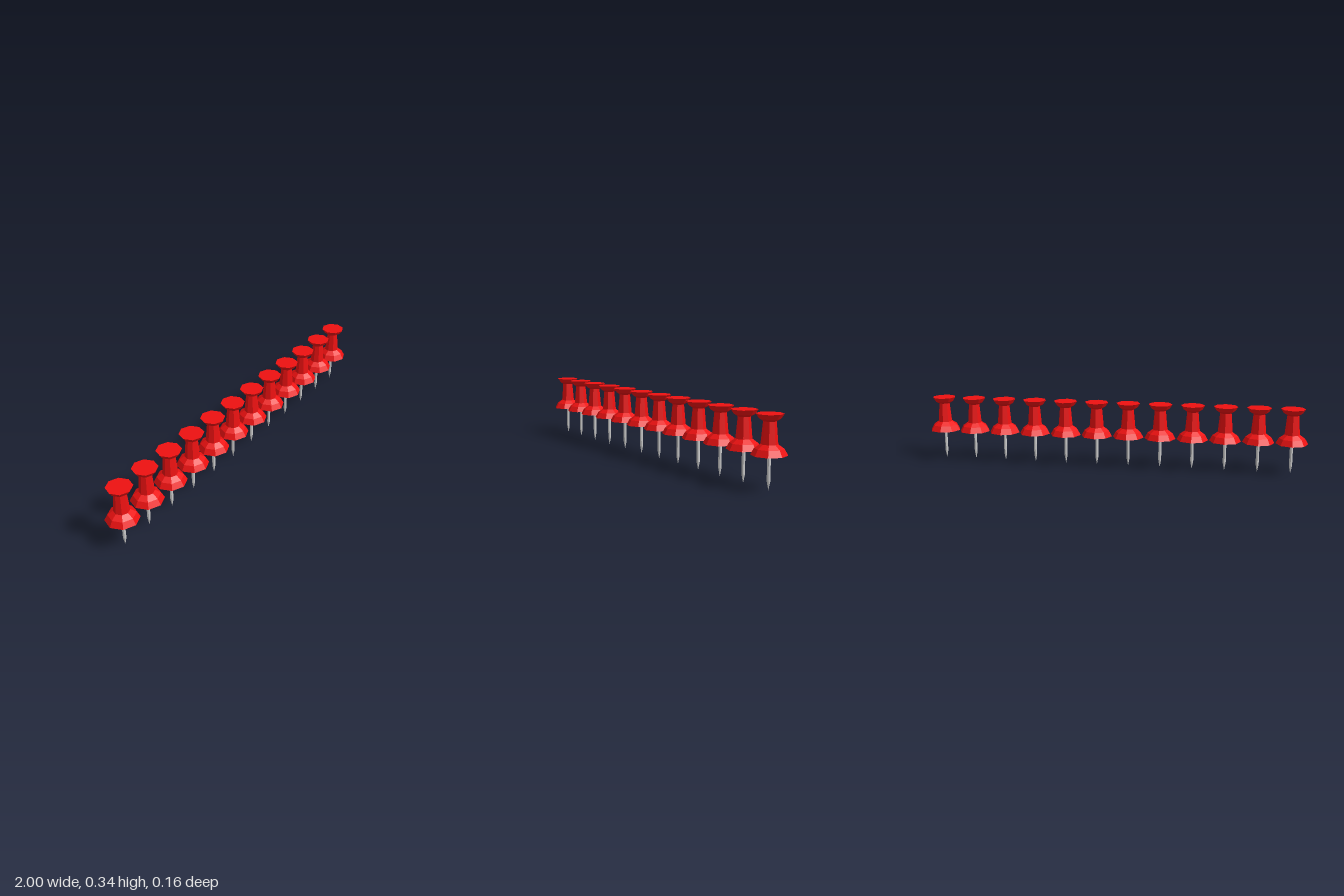
import * as THREE from 'three';

const COUNT = 12;
const SPACING = 0.167;
const SIDES = 8;

// Closed faceted solid turned from [radius, height] pairs, bottom to top
function turned(profile) {
  return new THREE.LatheGeometry(profile.map(([r, y]) => new THREE.Vector2(r, y)), SIDES);
}

export function createModel() {
  const model = new THREE.Group();
  model.name = 'pushPinRow';

  const red = new THREE.MeshStandardMaterial({ color: 0xee1111, flatShading: true });
  const grey = new THREE.MeshStandardMaterial({ color: 0xcccccc, flatShading: true });

  // Plastic handle: flared skirt, tapered grip and wide flat cap
  const handleGeometry = turned([
    [0, 0.156], [0.081, 0.156], [0.065, 0.185], [0.038, 0.204],
    [0.029, 0.303], [0.047, 0.314], [0.062, 0.336], [0, 0.336],
  ]);

  // Metal needle with a sharpened tip, its top hidden in the handle
  const needleGeometry = turned([[0, 0], [0.008, 0.041], [0.008, 0.16], [0, 0.16]]);

  for (let i = 0; i < COUNT; i++) {
    const pin = new THREE.Group();
    pin.name = `pushPin${i + 1}`;
    pin.position.x = (i - (COUNT - 1) / 2) * SPACING;

    const handle = new THREE.Mesh(handleGeometry, red);
    handle.name = 'handle';
    const needle = new THREE.Mesh(needleGeometry, grey);
    needle.name = 'needle';

    pin.add(handle, needle);
    model.add(pin);
  }
  return model;
}
